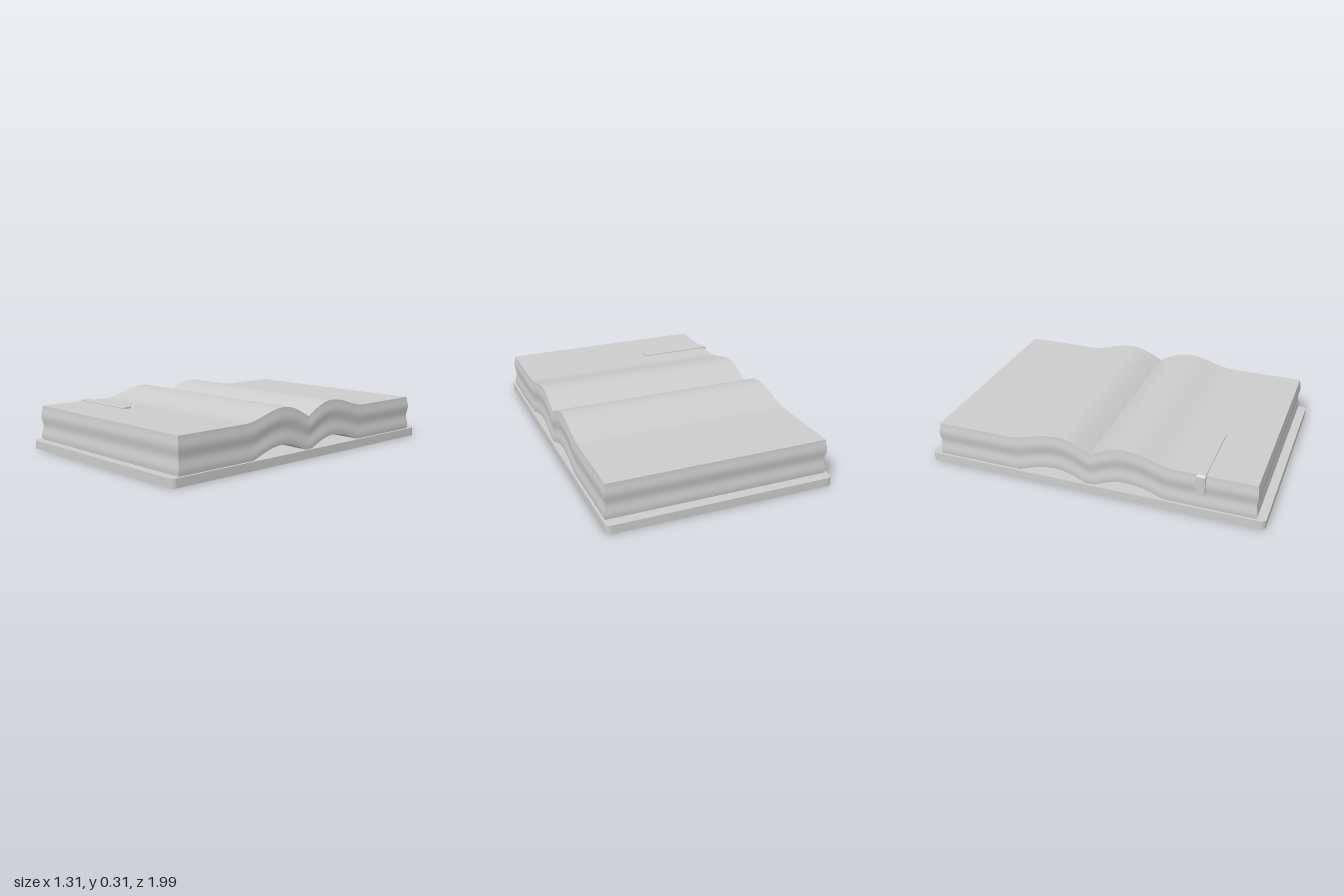
import * as THREE from 'three';

const COVER = 0.05;   // cover thickness
const LENGTH = 0.935; // spine to outer page edge
const HALF_W = 0.632; // half page height along the spine

// Upper page surface: valley at the spine, a hump, then flat
function topY(d) {
  if (d < 0.2) return 0.235 + 0.073 * Math.sin((Math.PI / 2) * (d / 0.2));
  if (d < 0.5) return 0.279 + 0.029 * Math.cos(Math.PI * (d - 0.2) / 0.3);
  return 0.25;
}

// Lower page surface: arched up off the cover beside the spine
function bottomY(d) {
  if (d < 0.025 || d > 0.43) return COVER;
  const u = d < 0.21 ? (0.21 - d) / 0.185 : (d - 0.21) / 0.22;
  return COVER + 0.055 * Math.cos((Math.PI / 2) * u);
}

// Slight unevenness of the stacked page edges
const ripple = t => 0.004 * Math.sin(t * Math.PI * 3.4 + 0.4);

function pageBlock(side) {
  const geo = new THREE.BoxGeometry(2 * HALF_W, 1, LENGTH, 1, 14, 90);
  const p = geo.attributes.position;
  for (let i = 0; i < p.count; i++) {
    const t = p.getY(i) + 0.5;
    const z = p.getZ(i) + side * LENGTH / 2;
    const d = Math.abs(z);
    const low = bottomY(d);
    p.setXYZ(i,
      p.getX(i) + Math.sign(p.getX(i)) * ripple(t),
      low + t * (topY(d) - low),
      z + side * ripple(t) * d / LENGTH);
  }
  geo.computeVertexNormals();
  return geo;
}

function roundedRect(w, h, r) {
  const s = new THREE.Shape();
  s.absarc(w - r, h - r, r, 0, Math.PI / 2);
  s.absarc(-w + r, h - r, r, Math.PI / 2, Math.PI);
  s.absarc(-w + r, -h + r, r, Math.PI, Math.PI * 1.5);
  s.absarc(w - r, -h + r, r, Math.PI * 1.5, Math.PI * 2);
  s.closePath();
  return s;
}

export function createModel() {
  const model = new THREE.Group();
  model.name = 'openBook';
  const material = new THREE.MeshStandardMaterial({ color: 0xcccccc });
  const add = (name, geo) => {
    const mesh = new THREE.Mesh(geo, material);
    mesh.name = name;
    model.add(mesh);
    return mesh;
  };

  // Cover board with rounded corners
  const cover = new THREE.ExtrudeGeometry(roundedRect(0.648, 0.992, 0.03),
    { depth: COVER, bevelEnabled: false, curveSegments: 8 });
  cover.rotateX(-Math.PI / 2);
  add('cover', cover);

  // Two page stacks meeting at the spine
  add('frontPages', pageBlock(1)).position.z = 0.005;
  add('backPages', pageBlock(-1)).position.z = 0.005;

  // Ribbon bookmark lying on the page and folded down over the edge
  const s = new THREE.Shape();
  s.moveTo(-0.2, 0.245);
  s.lineTo(-0.2, 0.255);
  s.lineTo(-0.63, 0.255);
  s.quadraticCurveTo(-0.645, 0.255, -0.645, 0.24);
  s.lineTo(-0.645, 0.14);
  s.lineTo(-0.625, 0.14);
  s.lineTo(-0.625, 0.245);
  s.closePath();
  const ribbon = new THREE.ExtrudeGeometry(s, {
    depth: 0.036, bevelThickness: 0.008, bevelSize: 0.004, bevelSegments: 3, curveSegments: 6,
  });
  ribbon.translate(0, 0, 0.617);
  add('bookmark', ribbon);

  // The book lies very slightly askew
  model.rotation.y = -0.008;
  return model;
}
